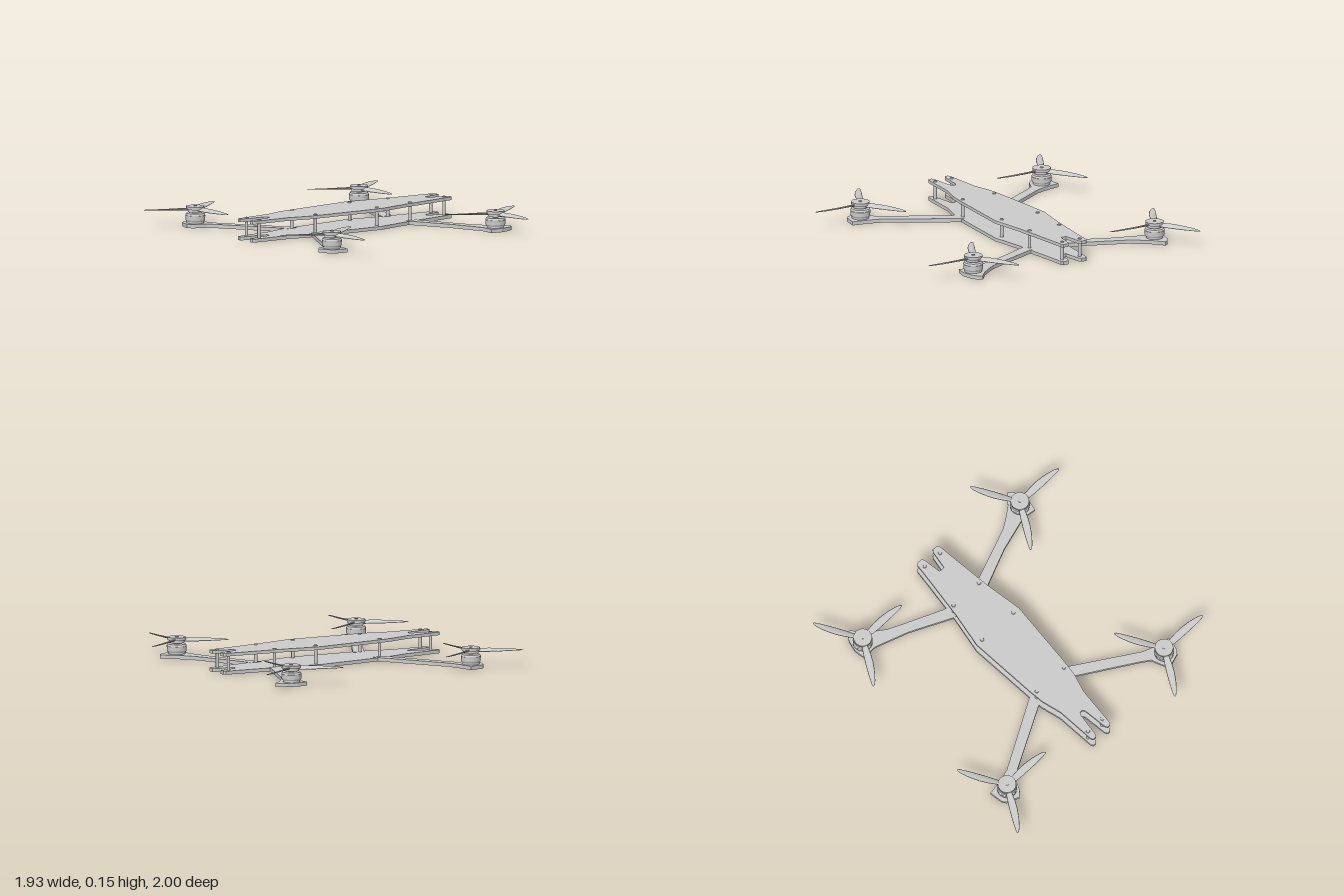
import * as THREE from 'three';

const CX = -0.088; // centre line of the frame
const material = new THREE.MeshStandardMaterial({ color: 0xcccccc });

function addMesh(parent, name, geometry, x = 0, y = 0, z = 0) {
  const mesh = new THREE.Mesh(geometry, material);
  mesh.name = name;
  mesh.position.set(x, y, z);
  parent.add(mesh);
  return mesh;
}

// Flat sheet from an [x, z] outline, lying between y = 0 and y = thickness
function sheet(points, thickness) {
  const shape = new THREE.Shape(points.map(([x, z]) => new THREE.Vector2(x, z)));
  return new THREE.ExtrudeGeometry(shape, { depth: thickness, bevelEnabled: false })
    .rotateX(Math.PI / 2).translate(0, thickness, 0);
}

// Right half of the body plate, from the rear notch to the front notch
const plateHalf = [
  [0.02, -0.698], [0.04, -0.825], [0.05, -0.84], [0.088, -0.84], [0.099, -0.828],
  [0.11, -0.72], [0.148, -0.4], [0.19, -0.155], [0.155, 0.32], [0.143, 0.43],
  [0.105, 0.57], [0.084, 0.84], [0.074, 0.855], [0.052, 0.855], [0.042, 0.84],
  [0.021, 0.675], [0.01, 0.656],
];
const plateOutline = [...plateHalf, ...plateHalf.map(([x, z]) => [-x, z]).reverse()];

// Arms with flared motor pads
const rearArm = [
  [0.12, -0.505], [0.15, -0.513], [0.41, -0.618], [0.52, -0.665], [0.58, -0.705],
  [0.65, -0.76], [0.71, -0.83], [0.735, -0.815], [0.762, -0.775], [0.778, -0.70],
  [0.765, -0.62], [0.67, -0.63], [0.63, -0.618], [0.43, -0.555], [0.15, -0.43], [0.12, -0.42],
];
const frontArm = [
  [0.12, 0.305], [0.15, 0.318], [0.61, 0.593], [0.66, 0.61], [0.72, 0.625], [0.80, 0.64],
  [0.785, 0.735], [0.765, 0.76], [0.68, 0.79], [0.645, 0.757], [0.61, 0.675],
  [0.55, 0.635], [0.15, 0.405], [0.12, 0.39],
];

// Propeller blade along +x: [radius, rear edge z, front edge z, half thickness, pitch]
function bladeGeometry() {
  const stations = [
    [0.03, -0.018, 0.018, 0.009, 0.42], [0.07, -0.021, 0.019, 0.007, 0.4],
    [0.12, -0.028, 0.021, 0.006, 0.34], [0.18, -0.031, 0.021, 0.005, 0.26],
    [0.25, -0.026, 0.019, 0.004, 0.2], [0.31, -0.015, 0.015, 0.003, 0.14],
    [0.335, -0.006, 0.012, 0.002, 0.1], [0.346, 0.004, 0.006, 0.001, 0.1],
  ];
  const n = 12, positions = [], index = [];
  stations.forEach(([r, z0, z1, t, pitch], i) => {
    for (let j = 0; j < n; j++) {
      const a = (j / n) * Math.PI * 2;
      const dz = ((z1 - z0) / 2) * Math.cos(a);
      positions.push(r, t * Math.sin(a) - dz * pitch, (z0 + z1) / 2 + dz);
      if (i < stations.length - 1) {
        const p = i * n + j, q = i * n + ((j + 1) % n);
        index.push(p, p + n, q, q, p + n, q + n);
      }
    }
  });
  const geometry = new THREE.BufferGeometry();
  geometry.setAttribute('position', new THREE.Float32BufferAttribute(positions, 3));
  geometry.setIndex(index);
  geometry.computeVertexNormals();
  return geometry;
}

// Stack of cylinders: [bottom radius, top radius, bottom y, top y]
function addStack(parent, name, layers) {
  for (const [r0, r1, y0, y1] of layers) {
    addMesh(parent, name, new THREE.CylinderGeometry(r1, r0, y1 - y0, 32), 0, (y0 + y1) / 2, 0);
  }
}

function motorWithPropeller(blade) {
  const unit = new THREE.Group();
  unit.name = 'motorUnit';
  addStack(unit, 'motorBase', [[0.057, 0.057, 0.024, 0.036]]);
  addStack(unit, 'motorBell', [
    [0.06, 0.065, 0.036, 0.046], [0.065, 0.066, 0.046, 0.076], [0.061, 0.061, 0.076, 0.079],
    [0.066, 0.06, 0.079, 0.09],
  ]);
  addStack(unit, 'motorShaft', [[0.018, 0.018, 0.088, 0.1], [0.011, 0.011, 0.1, 0.14]]);

  const propeller = new THREE.Group();
  propeller.name = 'propeller';
  unit.add(propeller);
  addStack(propeller, 'propellerHub', [[0.05, 0.05, 0.098, 0.116], [0.06, 0.061, 0.116, 0.136]]);
  for (let i = 0; i < 3; i++) {
    addMesh(propeller, 'propellerBlade', blade, 0, 0.117, 0).rotation.y = (i * Math.PI * 2) / 3;
  }
  return unit;
}

export function createModel() {
  const model = new THREE.Group();
  model.name = 'quadcopter';
  const frame = new THREE.Group();
  frame.name = 'frame';
  frame.position.x = CX;
  model.add(frame);

  // Two matching body plates
  addMesh(frame, 'bottomPlate', sheet(plateOutline, 0.023));
  addMesh(frame, 'topPlate', sheet(plateOutline, 0.021), 0, 0.121, 0);

  const post = new THREE.CylinderGeometry(0.011, 0.011, 0.1, 16);
  const head = new THREE.CylinderGeometry(0.011, 0.013, 0.006, 16);
  const posts = [[0.068, -0.79], [0.115, -0.46], [0.14, -0.155], [0.122, 0.355], [0.064, 0.79]];
  const blade = bladeGeometry();

  for (const side of [-1, 1]) {
    // Arms
    for (const [name, outline] of [['rearArm', rearArm], ['frontArm', frontArm]]) {
      addMesh(frame, name, sheet(outline.map(([x, z]) => [side * x, z]), 0.025));
    }
    // Standoffs between the plates, with screw heads on top
    for (const [x, z] of posts) {
      addMesh(frame, 'standoff', post, side * x, 0.072, z);
      addMesh(frame, 'screwHead', head, side * x, 0.145, z);
    }
    // Motors and propellers
    for (const z of [-0.703, 0.697]) {
      const unit = motorWithPropeller(blade);
      unit.position.set(side * 0.705, 0, z);
      frame.add(unit);
    }
  }
  return model;
}
